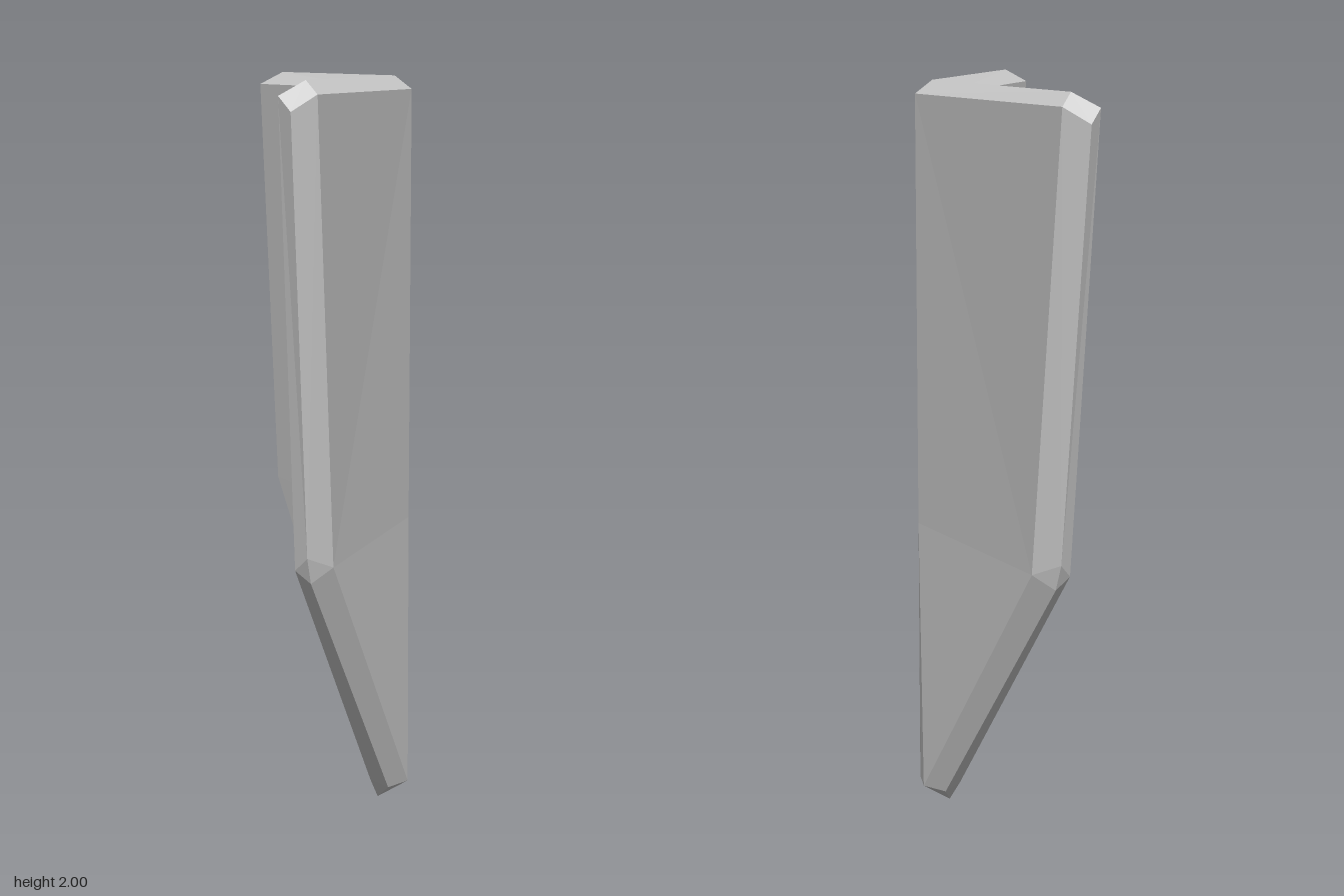
import * as THREE from 'three';

// Half outlines [x, y, z], from the top of the ridge, around the wing, to the tip
const OUTER = [[0.187, 1.965, 0], [-0.1, 1.968, 0.68], [-0.055, 0.815, 0.535], [0.183, 0.07, 0.065], [0.187, 0.07, 0]];
const INNER = [[0.095, 1.965, 0], [-0.19, 1.965, 0.675], [-0.15, 0.81, 0.54], [0.08, 0.07, 0.05], [0.095, 0.07, 0]];
const RIM = [[0.142, 2, 0], [-0.125, 2, 0.645], [-0.163, 1.93, 0.712], [-0.122, 0.85, 0.58],
  [-0.112, 0.78, 0.557], [0.125, 0.065, 0.1], [0.105, 0, 0]];
// Face corner that each rim point bevels to
const CORNER = [0, 1, 1, 2, 2, 3, 4];

// Flat shaded mesh from triangles of the +z half, mirrored to -z
function halfMesh(name, triangles) {
  const positions = [];
  for (const [a, b, c] of triangles) {
    positions.push(...a, ...b, ...c);
    for (const p of [a, c, b]) positions.push(p[0], p[1], -p[2]);
  }
  const geometry = new THREE.BufferGeometry();
  geometry.setAttribute('position', new THREE.Float32BufferAttribute(positions, 3));
  geometry.computeVertexNormals();
  const mesh = new THREE.Mesh(geometry, new THREE.MeshStandardMaterial({ color: 0xcccccc, flatShading: true }));
  mesh.name = name;
  return mesh;
}

const flip = (triangles) => triangles.map(([a, b, c]) => [a, c, b]);

// Upper and lower panels meeting at a crease that runs from ridge to shoulder
function panels([top, corner, shoulder, foot, base]) {
  const ridge = [top[0], 0.81, 0];
  return [[top, corner, shoulder], [top, shoulder, ridge], [ridge, shoulder, foot], [ridge, foot, base]];
}

// Bevel strip between a face outline and the rim
function bevel(face) {
  const triangles = [];
  for (let i = 0; i < RIM.length - 1; i++) {
    const a = face[CORNER[i]], b = face[CORNER[i + 1]];
    triangles.push([a, RIM[i], RIM[i + 1]]);
    if (a !== b) triangles.push([a, RIM[i + 1], b]);
  }
  return triangles;
}

export function createModel() {
  const group = new THREE.Group();
  group.name = 'foldedShield';
  group.add(
    halfMesh('outerFace', panels(OUTER)),
    halfMesh('innerFace', flip(panels(INNER))),
    halfMesh('outerBevel', bevel(OUTER)),
    halfMesh('innerBevel', flip(bevel(INNER))),
  );
  return group;
}
